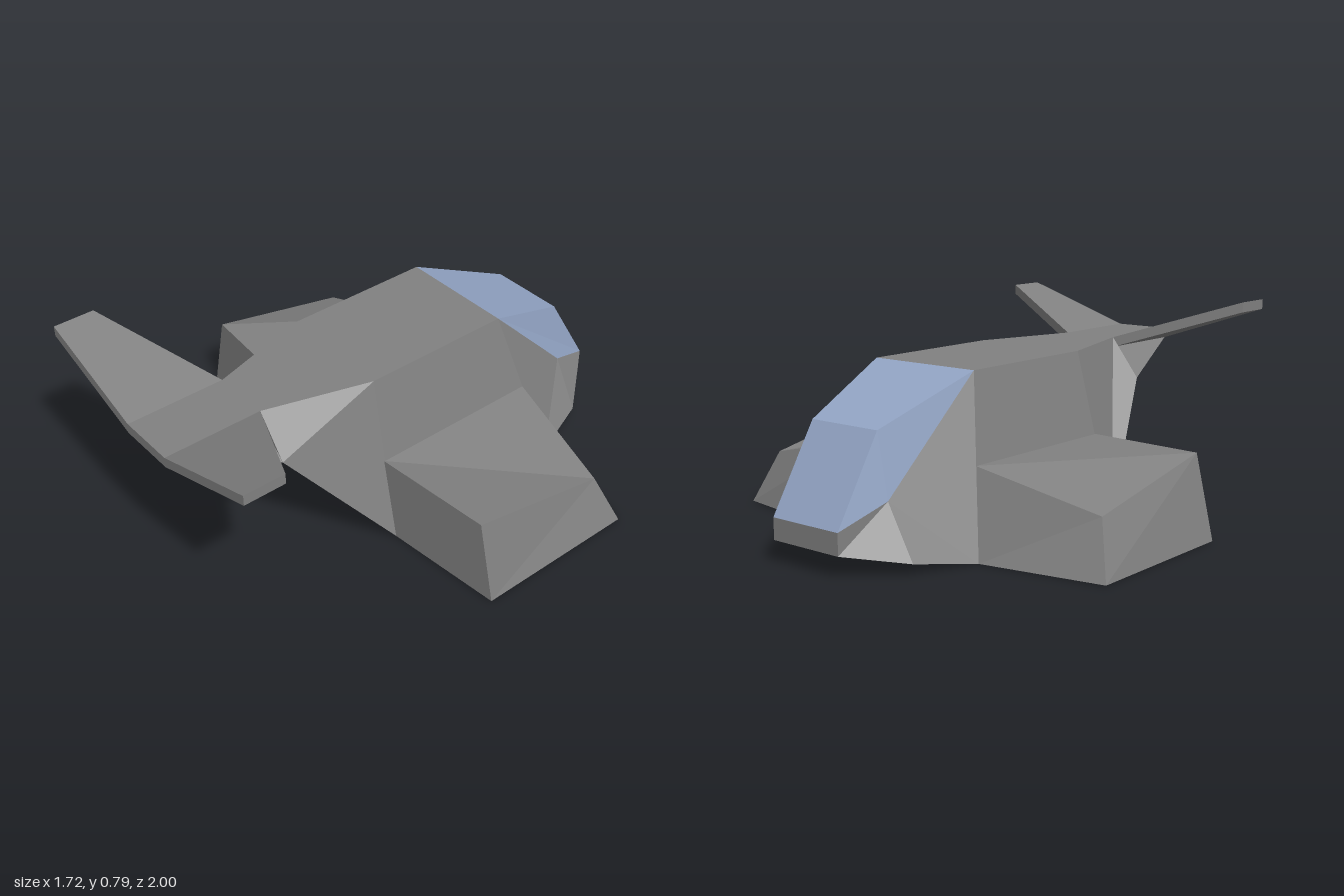
import * as THREE from 'three';

const mirror = ([x, y, z]) => [-x, y, z];

// Faceted mesh from convex faces; each face is a loop of corners, counter-clockwise from outside
function faceted(name, material, faces) {
  const positions = [];
  for (const f of faces) {
    for (let i = 1; i < f.length - 1; i++) positions.push(...f[0], ...f[i], ...f[i + 1]);
  }
  const geometry = new THREE.BufferGeometry();
  geometry.setAttribute('position', new THREE.Float32BufferAttribute(positions, 3));
  geometry.computeVertexNormals();
  const mesh = new THREE.Mesh(geometry, material);
  mesh.name = name;
  return mesh;
}

// Faces of the left side together with their mirror images
const bothSides = (faces) => [...faces, ...faces.map((f) => f.map(mirror).reverse())];

// Band of panels across the centre line, following a path of left-hand corners
const across = (path) =>
  path.slice(1).map((b, i) => [path[i], b, mirror(b), mirror(path[i])]);

export function createModel() {
  const grey = new THREE.MeshStandardMaterial({ color: 0x808080 });
  grey.name = 'hull grey';
  const blue = new THREE.MeshStandardMaterial({ color: 0x92a4c4 });
  blue.name = 'glass blue';

  const model = new THREE.Group();
  model.name = 'spacecraft';

  // Corners of the hull on the left (+x) side
  const deckTail = [0.115, 0.63, 0.61];
  const deckMid = [0.235, 0.63, 0.2];
  const deckFront = [0.235, 0.63, -0.41];
  const brow = [0.155, 0.47, -0.81];
  const cheek = [0.2, 0.235, -0.81];
  const noseTop = [0.155, 0.16, -1];
  const noseLow = [0.155, 0.08, -1];
  const chin = [0.31, 0.04, -0.81];
  const keelFront = [0.39, 0, -0.57];
  const keelRear = [0.39, 0, 0.22];
  const boomLow = [0.235, 0.475, 0.61];
  const boomTop = [0.115, 0.59, 0.61];
  const boomEnd = [0.115, 0.59, 1];

  // Hull: deck, nose, belly and tail boom
  model.add(faceted('hull', grey, [
    ...across([deckTail, deckMid, deckFront]),
    ...across([noseTop, noseLow, chin, keelFront, keelRear, boomLow, boomEnd]),
    ...bothSides([
      [keelRear, keelFront, deckFront, deckMid],
      [boomLow, keelRear, deckMid, deckTail],
      [keelFront, cheek, deckFront],
      [keelFront, chin, cheek],
      [chin, noseLow, noseTop, cheek],
      [boomEnd, boomLow, boomTop],
      [boomLow, deckTail, boomTop],
    ]),
  ]));

  // Canopy: upper and lower windscreen with side windows
  model.add(faceted('canopy', blue, [
    ...across([deckFront, brow, noseTop]),
    ...bothSides([[deckFront, cheek, noseTop, brow]]),
  ]));

  // Side pods
  const innerRear = [0.31, 0.315, 0.215];
  const innerFront = [0.31, 0.315, -0.49];
  const outerRear = [0.785, 0.315, 0.175];
  const outerFront = [0.785, 0.2, -0.41];
  const footRear = [0.86, 0, 0.175];
  const footFront = [0.86, 0, -0.49];
  const pod = [
    [innerRear, outerRear, outerFront, innerFront],
    [footRear, footFront, outerFront, outerRear],
    [keelRear, footRear, outerRear, innerRear],
    [footFront, keelFront, innerFront, outerFront],
    [keelRear, keelFront, footFront, footRear],
  ];
  model.add(faceted('sidePods', grey, bothSides(pod)));

  // Tail: flat centre with two upswept fins of even thickness
  const lower = ([x, y, z]) => [x, y - 0.04, z];
  const rootRear = [0.115, 0.63, 1];
  const tipFront = [0.58, 0.785, 0.84];
  const tipRear = [0.58, 0.785, 1];
  const finTop = [deckTail, rootRear, tipRear, tipFront];
  const finEdges = [[rootRear, tipRear], [tipRear, tipFront], [tipFront, deckTail]]
    .map(([a, b]) => [a, lower(a), lower(b), b]);
  model.add(faceted('tailFins', grey, [
    ...across([rootRear, deckTail, lower(deckTail), lower(rootRear), rootRear]),
    ...bothSides([finTop, finTop.map(lower).reverse(), ...finEdges]),
  ]));

  return model;
}
